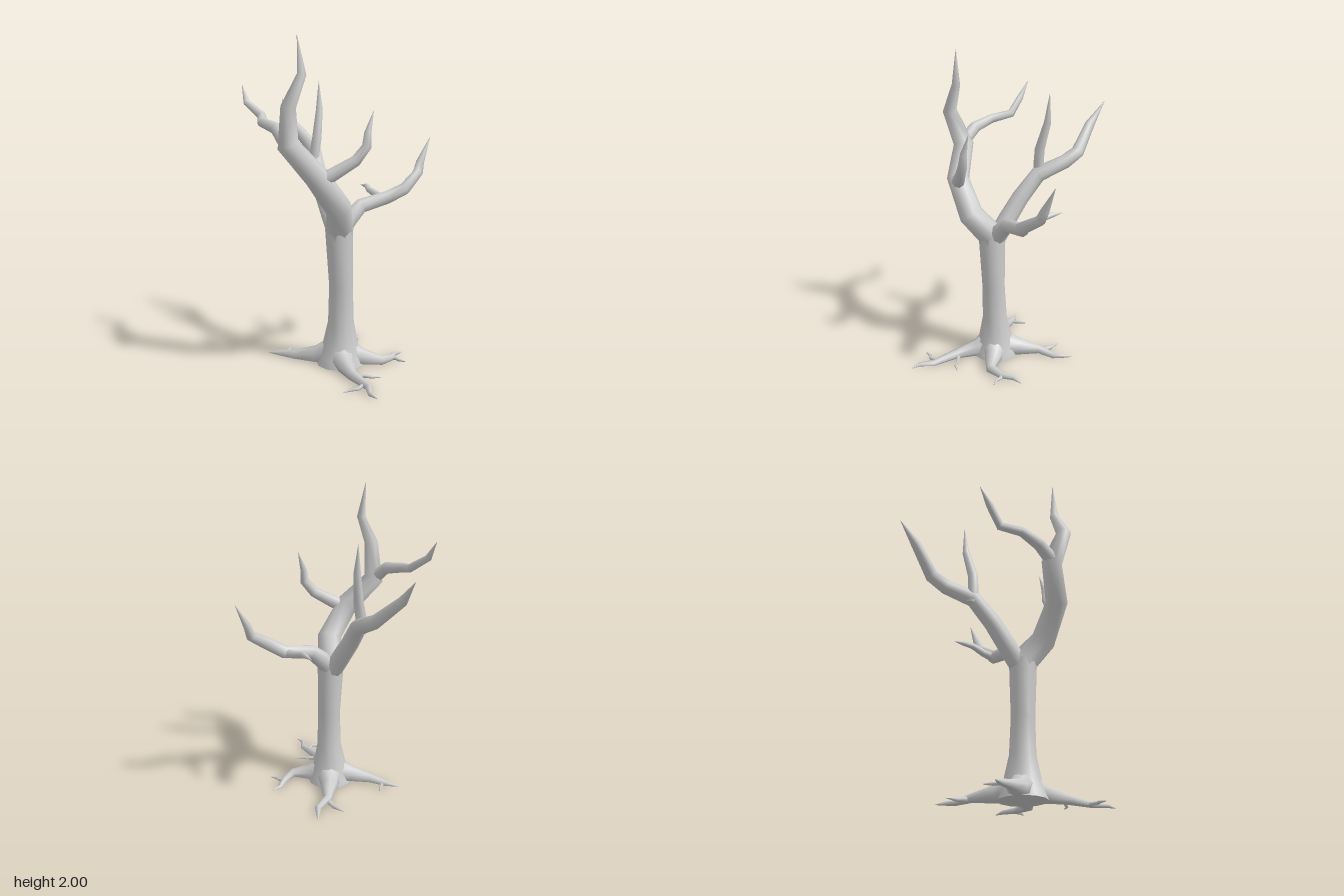
import * as THREE from 'three';

const material = new THREE.MeshStandardMaterial({ color: 0xcccccc, side: THREE.DoubleSide });

// Tapered limb through points [x, y, z, radius], with mitred rings and closed ends
function limb(name, points, sides = 8) {
  const centres = points.map(([x, y, z]) => new THREE.Vector3(x, y, z));
  const last = points.length - 1;
  const pos = [], index = [];
  const u = new THREE.Vector3(), v = new THREE.Vector3();
  const direction = (a, b) => centres[b].clone().sub(centres[a]).normalize();
  let prev = null;
  centres.forEach((c, i) => {
    const before = direction(Math.max(i - 1, 0), Math.max(i, 1));
    const after = direction(Math.min(i, last - 1), Math.min(i + 1, last));
    const t = before.add(after).normalize();
    // carry the previous frame along so the limb does not twist
    if (!prev) u.set(1, 0, 0).addScaledVector(t, -t.x);
    else u.addScaledVector(t, -u.dot(t));
    if (u.lengthSq() < 0.01) u.set(0, 0, 1).addScaledVector(t, -t.z);
    u.normalize();
    v.crossVectors(t, u);
    prev = t;
    for (let j = 0; j < sides; j++) {
      const a = (j / sides) * Math.PI * 2;
      const p = c.clone()
        .addScaledVector(u, Math.cos(a) * points[i][3])
        .addScaledVector(v, Math.sin(a) * points[i][3]);
      pos.push(p.x, Math.max(p.y, 0), p.z); // flat underside on the ground
    }
  });
  for (let i = 0; i < last; i++) {
    for (let j = 0; j < sides; j++) {
      const a = i * sides + j, b = i * sides + (j + 1) % sides;
      index.push(a, b, a + sides, b, b + sides, a + sides);
    }
  }
  // end caps with their own vertices, so the rims stay sharp
  for (const end of [0, last]) {
    const start = pos.length / 3;
    pos.push(...pos.slice(end * sides * 3, (end + 1) * sides * 3));
    pos.push(centres[end].x, Math.max(centres[end].y, 0), centres[end].z);
    for (let j = 0; j < sides; j++) {
      const a = start + j, b = start + (j + 1) % sides;
      index.push(...(end ? [a, b, start + sides] : [b, a, start + sides]));
    }
  }
  const geometry = new THREE.BufferGeometry();
  geometry.setAttribute('position', new THREE.Float32BufferAttribute(pos, 3));
  geometry.setIndex(index);
  geometry.computeVertexNormals();
  const mesh = new THREE.Mesh(geometry, material);
  mesh.name = name;
  return mesh;
}

export function createModel() {
  const tree = new THREE.Group();
  tree.name = 'bareTree';

  // Trunk, flared at the foot
  tree.add(limb('trunk', [
    [-0.11, 0, 0.125, 0.15], [-0.11, 0.045, 0.125, 0.137], [-0.11, 0.11, 0.125, 0.113],
    [-0.108, 0.27, 0.13, 0.08], [-0.11, 0.5, 0.135, 0.073], [-0.122, 0.86, 0.135, 0.086],
  ], 12));

  const branches = {
    // Tall branch on the right, with its two offshoots
    tallBranch: [
      [-0.122, 0.8, 0.135, 0.08], [-0.125, 0.86, 0.14, 0.088], [-0.18, 1.0, 0.25, 0.08],
      [-0.33, 1.2, 0.265, 0.072], [-0.46, 1.38, 0.16, 0.066], [-0.488, 1.6, 0.237, 0.046],
      [-0.4, 1.78, 0.228, 0.028], [-0.42, 1.995, 0.212, 0.001],
    ],
    tallBranchBackOffshoot: [
      [-0.47, 1.38, 0.17, 0.045], [-0.49, 1.47, 0.06, 0.038], [-0.525, 1.5, -0.08, 0.03],
      [-0.48, 1.53, -0.2, 0.027], [-0.54, 1.61, -0.3, 0.022], [-0.545, 1.72, -0.367, 0.001],
    ],
    tallBranchFrontOffshoot: [
      [-0.32, 1.18, 0.265, 0.045], [-0.25, 1.21, 0.3, 0.042], [-0.12, 1.29, 0.345, 0.034],
      [-0.055, 1.37, 0.357, 0.03], [-0.045, 1.45, 0.352, 0.022], [0, 1.575, 0.34, 0.001],
    ],
    // Low branch on the left, with its twig
    sideBranch: [
      [-0.09, 0.85, 0.12, 0.055], [-0.04, 0.91, 0.115, 0.055], [0.04, 0.98, 0.11, 0.047],
      [0.23, 1.02, 0.11, 0.042], [0.32, 1.075, 0.165, 0.04], [0.45, 1.165, 0.115, 0.032],
      [0.475, 1.23, 0.1, 0.026], [0.557, 1.385, 0.085, 0.001],
    ],
    sideBranchTwig: [
      [0.215, 1.01, 0.1, 0.03], [0.205, 1.025, 0.02, 0.024], [0.19, 1.05, -0.06, 0.02],
      [0.205, 1.065, -0.12, 0.016], [0.2, 1.063, -0.19, 0.001],
    ],
    // Long branch leaning to the back, with its upright offshoot
    backBranch: [
      [-0.125, 0.83, 0.1, 0.06], [-0.13, 0.94, 0.02, 0.06], [-0.135, 1.07, -0.08, 0.056],
      [-0.115, 1.215, -0.2, 0.052], [-0.055, 1.29, -0.36, 0.046], [-0.06, 1.34, -0.46, 0.042],
      [-0.138, 1.485, -0.6, 0.031], [-0.14, 1.625, -0.71, 0.001],
    ],
    backBranchOffshoot: [
      [-0.12, 1.18, -0.215, 0.036], [-0.13, 1.26, -0.21, 0.035], [-0.11, 1.38, -0.205, 0.032],
      [-0.075, 1.56, -0.24, 0.023], [-0.072, 1.74, -0.252, 0.001],
    ],
  };
  for (const [name, points] of Object.entries(branches)) tree.add(limb(name, points));

  // Roots creeping outward, each with thin rootlets
  const roots = {
    frontRoot: [
      [-0.12, 0.07, 0.14, 0.1], [-0.145, 0.035, 0.25, 0.06], [-0.165, 0.02, 0.4, 0.032],
      [-0.15, 0.01, 0.57, 0.023], [-0.185, 0.008, 0.65, 0.015], [-0.175, 0.004, 0.712, 0.002],
    ],
    backRightRoot: [
      [-0.13, 0.07, 0.11, 0.1], [-0.23, 0.035, 0.03, 0.06], [-0.33, 0.02, -0.065, 0.034],
      [-0.395, 0.01, -0.16, 0.021], [-0.455, 0.004, -0.222, 0.002],
    ],
    backLeftRoot: [
      [-0.1, 0.07, 0.11, 0.1], [-0.025, 0.035, -0.01, 0.06], [0.055, 0.02, -0.125, 0.03],
      [0.155, 0.01, -0.175, 0.021], [0.185, 0.008, -0.23, 0.014], [0.215, 0.004, -0.278, 0.002],
    ],
    frontLeftRoot: [
      [-0.1, 0.07, 0.13, 0.1], [0, 0.035, 0.2, 0.06], [0.1, 0.02, 0.27, 0.033],
      [0.19, 0.01, 0.235, 0.024], [0.25, 0.008, 0.18, 0.015], [0.315, 0.004, 0.165, 0.002],
    ],
  };
  for (const [name, points] of Object.entries(roots)) tree.add(limb(name, points));

  const rootlets = [
    [[-0.155, 0.01, 0.52, 0.013], [-0.215, 0.012, 0.56, 0.011], [-0.25, 0.01, 0.55, 0.01], [-0.305, 0.006, 0.555, 0.003]],
    [[-0.155, 0.015, 0.38, 0.014], [-0.09, 0.012, 0.42, 0.01], [-0.06, 0.01, 0.45, 0.008], [-0.01, 0.006, 0.46, 0.003]],
    [[-0.385, 0.01, -0.13, 0.012], [-0.33, 0.014, -0.18, 0.01], [-0.3, 0.016, -0.215, 0.003]],
    [[0.06, 0.015, -0.12, 0.02], [0.06, 0.012, -0.21, 0.016], [0.03, 0.005, -0.287, 0.002]],
    [[0.185, 0.01, 0.235, 0.015], [0.215, 0.012, 0.26, 0.011], [0.22, 0.01, 0.29, 0.009], [0.247, 0.006, 0.322, 0.003]],
  ];
  rootlets.forEach((points) => tree.add(limb('rootlet', points, 6)));

  return tree;
}
